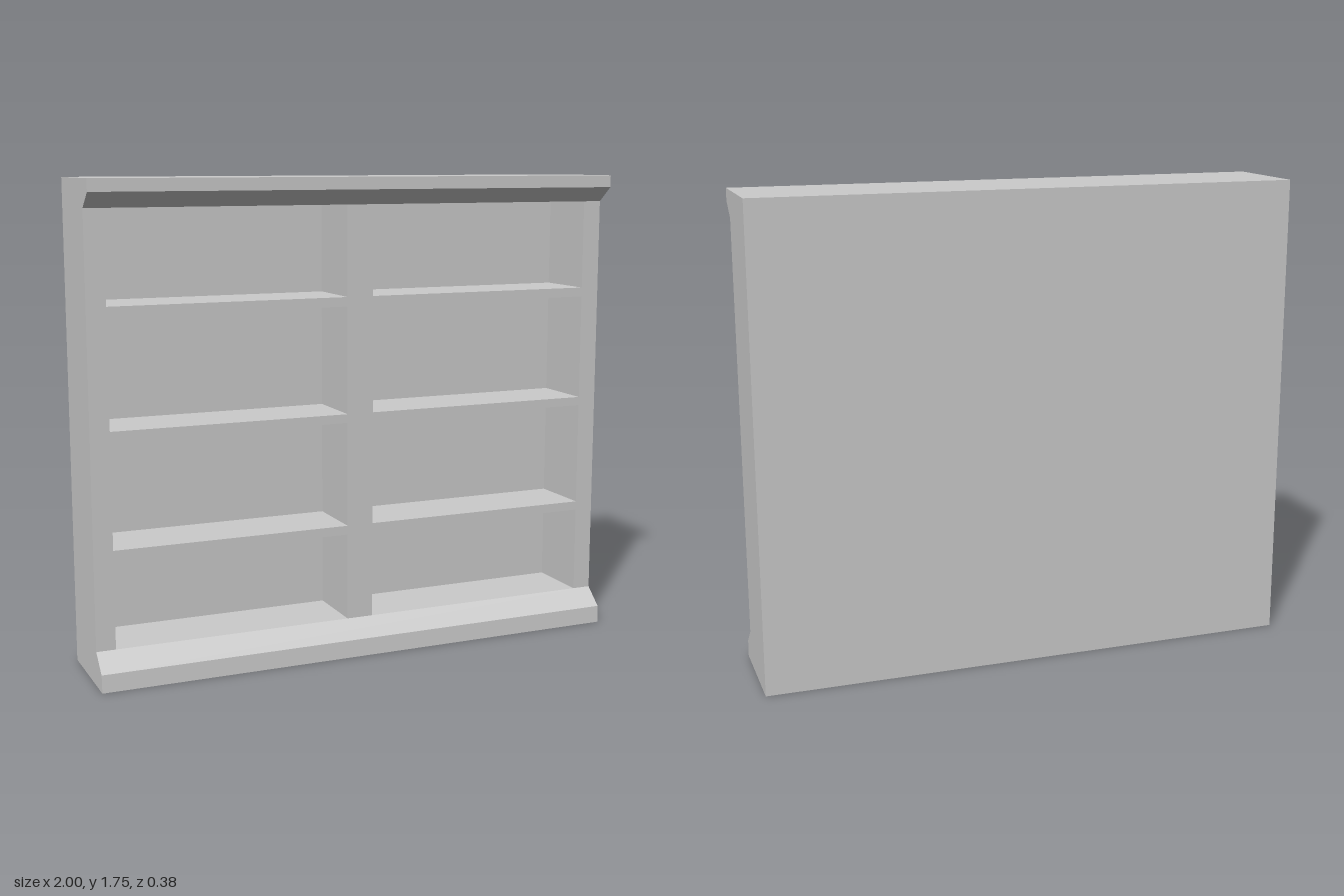
import * as THREE from 'three';

const BACK = -0.188, FRONT = 0.115, PANEL = -0.13; // rear face, frame face, recess back
const FLOOR = 0.126, CEILING = 1.652;

export function createModel() {
  const group = new THREE.Group();
  const material = new THREE.MeshStandardMaterial({ color: 0xcccccc, flatShading: true });

  const add = (name, geometry) => {
    const mesh = new THREE.Mesh(geometry, material);
    mesh.name = name;
    group.add(mesh);
  };

  // Box given by its limits on each axis
  const box = (name, x0, x1, y0, y1, z0, z1) => {
    const g = new THREE.BoxGeometry(x1 - x0, y1 - y0, z1 - z0);
    g.translate((x0 + x1) / 2, (y0 + y1) / 2, (z0 + z1) / 2);
    add(name, g);
  };

  // Full-width moulding from a side profile of [z, y] points
  const moulding = (name, points) => {
    const shape = new THREE.Shape(points.map(([z, y]) => new THREE.Vector2(-z, y)));
    const g = new THREE.ExtrudeGeometry(shape, { depth: 2, bevelEnabled: false });
    g.translate(0, 0, -1).rotateY(Math.PI / 2);
    add(name, g);
  };

  // Plinth and cornice with sloping front edges
  moulding('plinth', [[BACK, 0], [0.188, 0], [0.184, 0.064], [FRONT, FLOOR], [BACK, FLOOR]]);
  moulding('cornice', [[BACK, CEILING], [FRONT, CEILING], [0.184, 1.706], [0.184, 1.75], [BACK, 1.75]]);

  // Back panel, end uprights and central divider
  box('backPanel', -0.93, 0.93, FLOOR, CEILING, BACK, PANEL);
  box('rightUpright', -1, -0.93, FLOOR, CEILING, BACK, FRONT);
  box('leftUpright', 0.93, 1, FLOOR, CEILING, BACK, FRONT);
  box('centreDivider', -0.05, 0.05, FLOOR, CEILING, PANEL, FRONT);

  // Three shelves in each bay
  for (const [y0, y1] of [[0.448, 0.481], [0.866, 0.898], [1.29, 1.324]]) {
    box('rightShelf', -0.93, -0.05, y0, y1, PANEL, FRONT);
    box('leftShelf', 0.05, 0.93, y0, y1, PANEL, FRONT);
  }
  return group;
}
